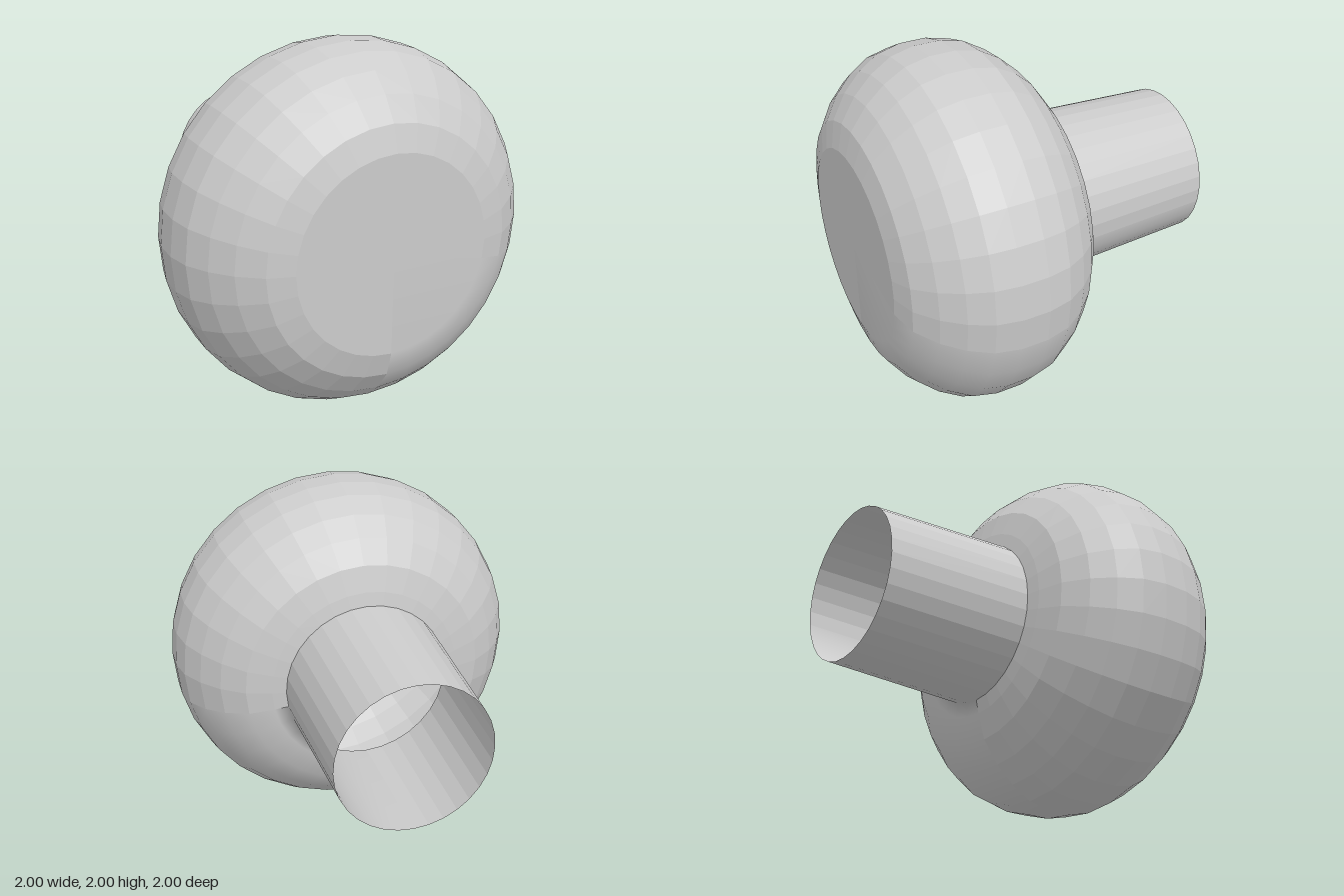
import * as THREE from 'three';

const SIDES = 32;
const STEP = (Math.PI * 2) / SIDES;

// Half of the rounded head: radius, distance from its widest plane
const ROUND = [[0.54, 0.565], [0.68, 0.525], [0.805, 0.435], [0.9, 0.33], [0.97, 0.21], [1, 0.075]];

export function createModel() {
  const group = new THREE.Group();
  group.name = 'knob';

  // Profile from the open end of the neck to the middle of the front face
  const profile = [
    [0.427, -1.413], [0.463, -0.58],
    ...ROUND.map(([r, d]) => [r, -d]),
    ...[...ROUND].reverse(),
    [0, 0.565],
  ].map(([r, d]) => new THREE.Vector2(r, d));

  // One sector of the revolved shell, starting at the bottom and turning to the left
  const sector = (name, first, count, flatShading) => {
    const geometry = new THREE.LatheGeometry(profile, count, first * STEP, count * STEP);
    geometry.rotateX(Math.PI / 2);
    const material = new THREE.MeshStandardMaterial({
      color: 0xcccccc, flatShading, side: THREE.DoubleSide,
    });
    const mesh = new THREE.Mesh(geometry, material);
    mesh.name = name;
    group.add(mesh);
  };

  sector('smoothKnobSector', 0, 7, false);
  sector('facetedKnobSector', 7, SIDES - 7, true);

  // The whole knob is turned very slightly
  group.position.set(0, 1, 0.42);
  group.rotation.y = -0.018;

  const root = new THREE.Group();
  root.name = 'doorKnob';
  root.add(group);
  return root;
}
